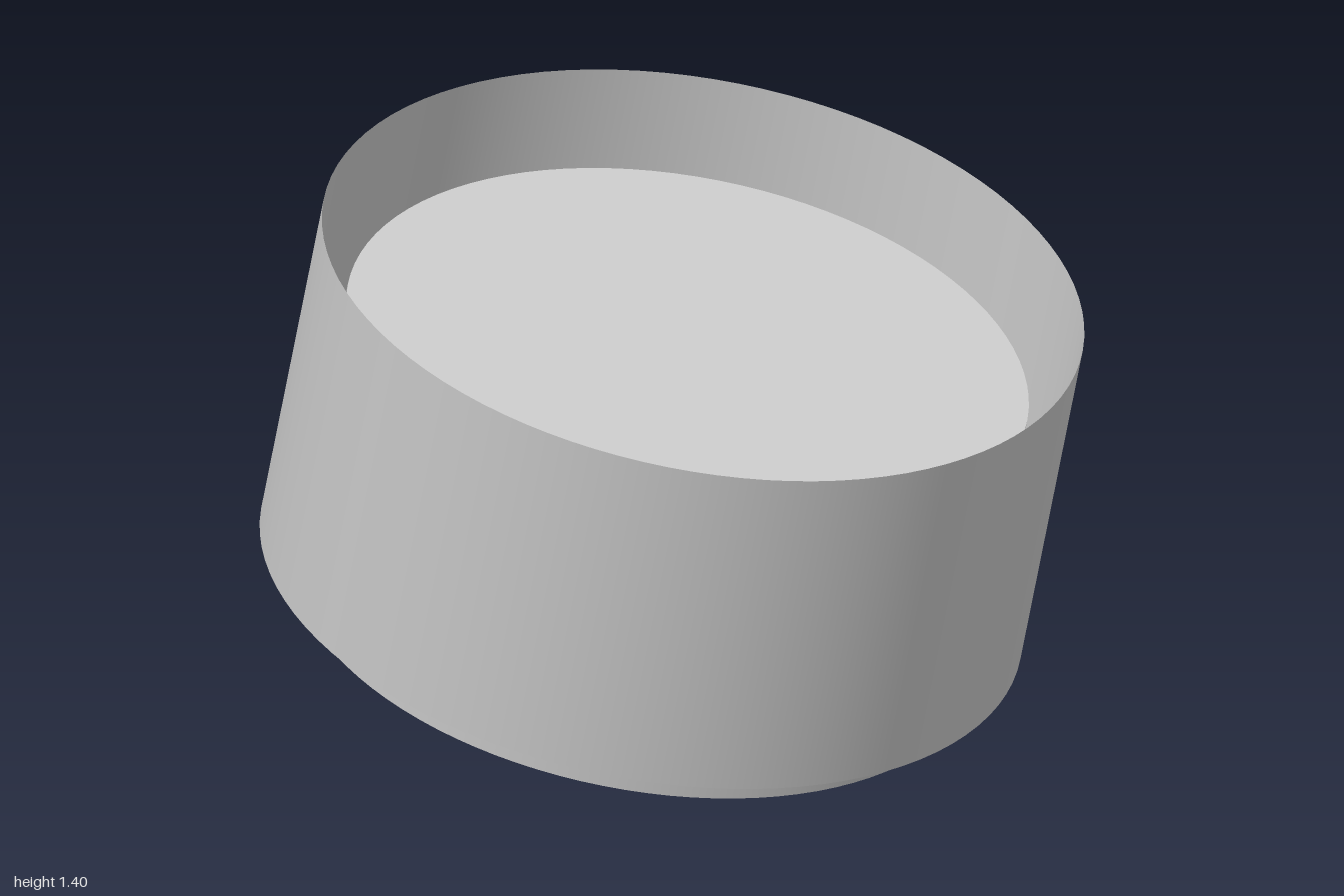
import * as THREE from 'three';

const SEGMENTS = 96;

export function createModel() {
  const material = new THREE.MeshStandardMaterial({ color: 0xcccccc, side: THREE.DoubleSide });
  const model = new THREE.Group();
  model.name = 'tiltedDrum';

  const add = (name, geometry, y) => {
    const mesh = new THREE.Mesh(geometry, material);
    mesh.name = name;
    mesh.position.y = y;
    drum.add(mesh);
  };

  // Everything shares one tilted axis
  const drum = new THREE.Group();
  drum.name = 'drum';
  drum.position.y = 0.73;
  drum.rotation.z = THREE.MathUtils.degToRad(-16.5);
  model.add(drum);

  // Thin outer sleeve, open at both ends
  add('outerSleeve', new THREE.CylinderGeometry(0.916, 0.916, 0.86, SEGMENTS, 1, true), 0);

  // Inner shell, open below and closed by a flat head
  const radius = 0.82, top = 0.215, bottom = -0.517;
  add('innerShell',
    new THREE.CylinderGeometry(radius, radius, top - bottom, SEGMENTS, 1, true),
    (top + bottom) / 2);
  add('drumHead', new THREE.CircleGeometry(radius, SEGMENTS).rotateX(-Math.PI / 2), top);

  return model;
}
